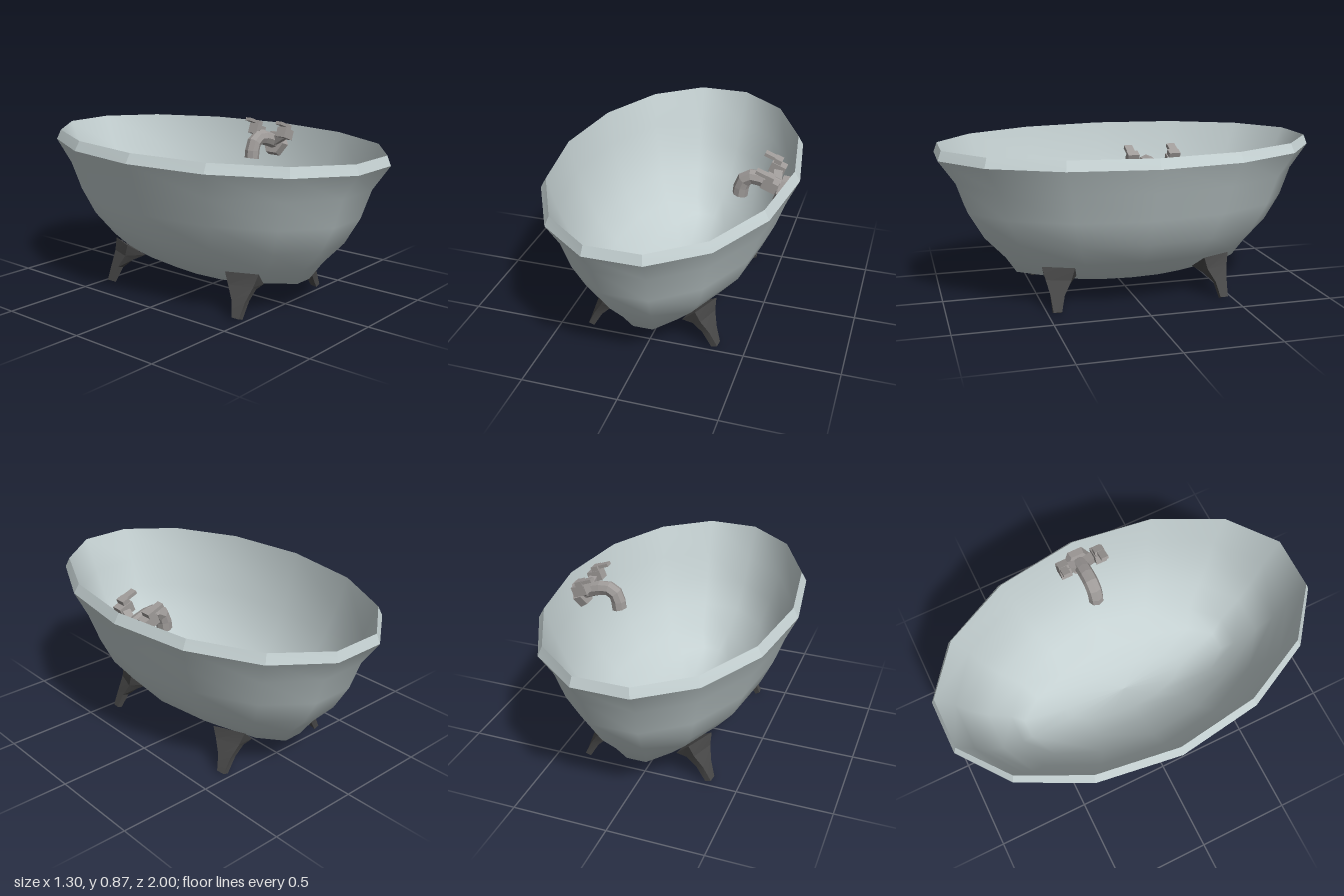
import * as THREE from 'three';
import { toCreasedNormals } from 'three/addons/utils/BufferGeometryUtils.js';

const SIDES = 14;

// Closed elliptical rings [y, half width x, half length z], joined in order from top to bottom.
// The faces point outward, or into the tub when inward is set.
function loftRings(rings, inward = false) {
  const pos = [], index = [];
  for (const [y, rx, rz] of rings) {
    for (let i = 0; i < SIDES; i++) {
      const a = (i / SIDES) * Math.PI * 2;
      pos.push(rx * Math.cos(a), y, (rz / 0.975) * Math.sin(a));
    }
  }
  for (let r = 0; r < rings.length - 1; r++) {
    for (let i = 0; i < SIDES; i++) {
      const j = (i + 1) % SIDES;
      let a = r * SIDES + i, b = r * SIDES + j;
      if (inward) [a, b] = [b, a];
      const c = a + SIDES, d = b + SIDES;
      index.push(a, b, c);
      if (rings[r + 1][1] > 0) index.push(b, d, c);
    }
  }
  const g = new THREE.BufferGeometry();
  g.setAttribute('position', new THREE.Float32BufferAttribute(pos, 3));
  g.setIndex(index);
  g.computeVertexNormals();
  return g;
}

// Solid through four-cornered sections
function loftQuads(sections) {
  const pos = sections.flat(2), index = [], n = sections.length;
  for (let s = 0; s < n - 1; s++) {
    for (let i = 0; i < 4; i++) {
      const a = s * 4 + i, b = s * 4 + ((i + 1) % 4);
      index.push(a, b, a + 4, b, b + 4, a + 4);
    }
  }
  const e = (n - 1) * 4;
  index.push(0, 2, 1, 0, 3, 2, e, e + 1, e + 2, e, e + 2, e + 3);
  const g = new THREE.BufferGeometry();
  g.setAttribute('position', new THREE.Float32BufferAttribute(pos, 3));
  g.setIndex(index);
  return toCreasedNormals(g, 0.2);
}

export function createModel() {
  const model = new THREE.Group();
  model.name = 'bathtub';
  const enamel = new THREE.MeshStandardMaterial({ color: 0xc4d0d1 });
  const iron = new THREE.MeshStandardMaterial({ color: 0x484848, side: THREE.DoubleSide });
  const metal = new THREE.MeshStandardMaterial({ color: 0xa09c9a, flatShading: true });

  const add = (parent, name, geometry, material) => {
    const m = new THREE.Mesh(geometry, material);
    m.name = name;
    parent.add(m);
    return m;
  };

  // Tub: outer shell, slanted rim, and a thin inner shell that follows the outer one
  const outer = [
    [0.78, 0.65, 1.0], [0.65, 0.59, 0.91], [0.5, 0.535, 0.86], [0.36, 0.47, 0.78],
    [0.24, 0.37, 0.67], [0.148, 0.235, 0.61], [0.09, 0.135, 0.35], [0.072, 0, 0],
  ];
  const rimTop = [0.83, 0.62, 0.982];
  const inner = outer.slice(1).map(([y, rx, rz]) => [y + 0.004, Math.max(rx - 0.006, 0), Math.max(rz - 0.006, 0)]);
  add(model, 'outerShell', loftRings(outer), enamel);
  add(model, 'rim', toCreasedNormals(loftRings([rimTop, outer[0]]), 0.2), enamel);
  add(model, 'innerShell', loftRings([rimTop, ...inner], true), enamel);

  // Splayed feet, mirrored to the four corners
  const foot = [
    [[0.315, 0.225, 0.35], [0.245, 0.225, 0.51], [0.17, 0.15, 0.485], [0.205, 0.15, 0.32]],
    [[0.315, 0.16, 0.37], [0.27, 0.16, 0.495], [0.225, 0.135, 0.48], [0.26, 0.125, 0.365]],
    [[0.335, 0.09, 0.41], [0.315, 0.09, 0.48], [0.275, 0.085, 0.475], [0.295, 0.08, 0.41]],
    [[0.36, 0.012, 0.43], [0.355, 0.01, 0.473], [0.325, 0, 0.473], [0.335, 0, 0.43]],
  ];
  for (const sx of [1, -1]) {
    for (const sz of [1, -1]) {
      const mirrored = foot.map((s) => {
        const q = s.map(([x, y, z]) => [x * sx, y, z * sz]);
        return sx * sz > 0 ? q.reverse() : q;
      });
      const name = (sz > 0 ? 'front' : 'back') + (sx > 0 ? 'Left' : 'Right') + 'Foot';
      add(model, name, loftQuads(mirrored), iron);
    }
  }

  // Faucet on the left wall, tilted square to the wall
  const faucet = new THREE.Group();
  faucet.name = 'faucet';
  model.add(faucet);
  const tilt = -0.36;

  const plate = add(faucet, 'wallPlate', new THREE.CylinderGeometry(0.07, 0.08, 0.04, 6), metal);
  plate.rotation.z = Math.PI / 2 + tilt;
  plate.position.set(0.558, 0.72, 0);

  // Spout: bent octagonal tube with a closed tip
  const path = new THREE.CatmullRomCurve3([
    [0.57, 0.72, 0], [0.48, 0.755, 0], [0.4, 0.77, 0], [0.355, 0.74, 0], [0.34, 0.66, 0],
  ].map((p) => new THREE.Vector3(...p)));
  add(faucet, 'spout', new THREE.TubeGeometry(path, 7, 0.041, 8), metal);
  const tip = add(faucet, 'spoutTip', new THREE.CircleGeometry(0.041, 8), metal);
  tip.position.set(0.34, 0.66, 0);
  tip.lookAt(path.getTangent(1).add(tip.position));

  // Handles: arm, valve body, stem and lever on each side
  for (const s of [1, -1]) {
    const from = new THREE.Vector3(0.53, 0.735, 0.02 * s);
    const to = new THREE.Vector3(0.52, 0.785, 0.1 * s);
    const arm = add(faucet, 'handleArm', new THREE.BoxGeometry(0.045, 0.045, from.distanceTo(to)), metal);
    arm.position.copy(from).lerp(to, 0.5);
    arm.lookAt(to);

    const valve = add(faucet, 'valve', new THREE.BoxGeometry(0.08, 0.055, 0.06), metal);
    valve.position.set(0.515, 0.79, 0.1 * s);
    valve.rotation.z = tilt;

    const stem = add(faucet, 'handleStem', new THREE.BoxGeometry(0.04, 0.05, 0.055), metal);
    stem.position.set(0.512, 0.82, 0.103 * s);
    stem.rotation.z = tilt;

    const lever = add(faucet, 'lever', new THREE.BoxGeometry(0.07, 0.018, 0.04), metal);
    lever.position.set(0.476, 0.849, 0.108 * s);
    lever.rotation.z = tilt;
  }
  return model;
}
